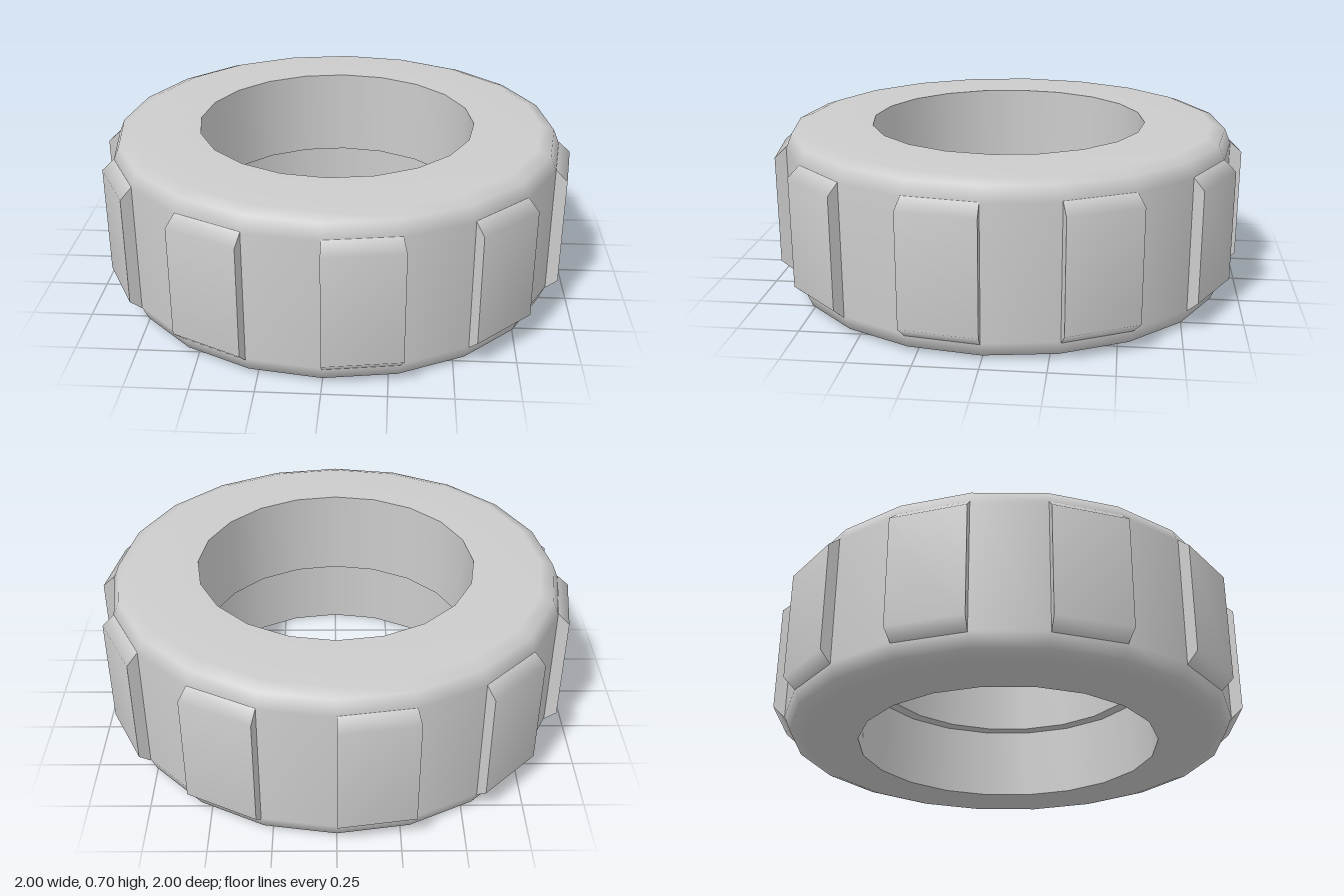
import * as THREE from 'three';

const SIDES = 20;
const STEP = (Math.PI * 2) / SIDES;
const points = (list) => list.map(([r, y]) => new THREE.Vector2(r, y));

export function createModel() {
  const model = new THREE.Group();
  model.name = 'tire';
  const rubber = new THREE.MeshStandardMaterial({ color: 0xcccccc });
  const thin = new THREE.MeshStandardMaterial({ color: 0xcccccc, side: THREE.DoubleSide });

  const add = (parent, name, geometry, material = rubber) => {
    const mesh = new THREE.Mesh(geometry, material);
    mesh.name = name;
    parent.add(mesh);
    return mesh;
  };
  const ring = (name, profile) => add(model, name, new THREE.LatheGeometry(points(profile), SIDES));

  // Rounded carcass: underside, tread and top side
  ring('carcass', [
    [0.64, 0], [0.87, 0], [0.925, 0.02], [0.95, 0.08],
    [0.95, 0.62], [0.925, 0.68], [0.87, 0.7], [0.585, 0.7],
  ]);

  // Stepped bore, narrower above the ledge
  ring('upperBore', [[0.585, 0.7], [0.585, 0.32]]);
  ring('boreLedge', [[0.585, 0.32], [0.64, 0.32]]);
  ring('lowerBore', [[0.64, 0.32], [0.64, 0]]);

  // Tread lugs on every other side, with sloped ends
  const lugProfile = points([[0.95, 0.075], [1, 0.12], [1, 0.58], [0.95, 0.625]]);
  const lugEnd = new THREE.ShapeGeometry(new THREE.Shape(lugProfile));
  for (let i = 0; i < SIDES; i += 2) {
    const lug = new THREE.Group();
    lug.name = 'treadLug';
    add(lug, 'lugFace', new THREE.LatheGeometry(lugProfile, 1, i * STEP, STEP));
    for (const k of [i, i + 1]) {
      add(lug, 'lugSide', lugEnd, thin).rotation.y = k * STEP - Math.PI / 2;
    }
    model.add(lug);
  }
  return model;
}
